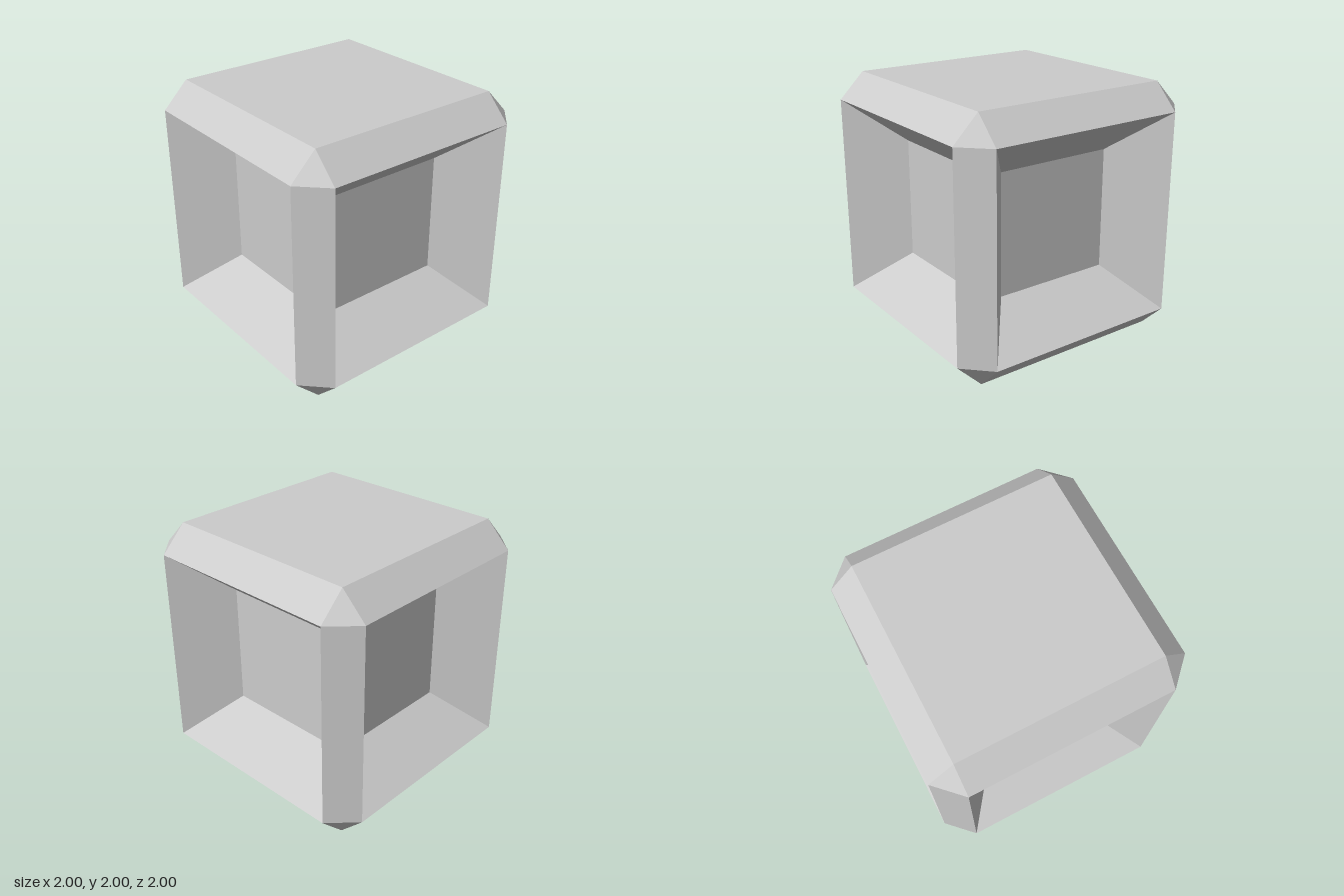
import * as THREE from 'three';

const OUT = 1, IN = 0.8;          // half size of the block and of its flat faces
const FLOOR = 0.48, DEPTH = 0.4;  // half size of the recess floor, recess depth

const material = new THREE.MeshStandardMaterial({ color: 0xcccccc, flatShading: true });

// Mesh from convex polygons, corners listed counter-clockwise seen from outside
function facets(name, polygons) {
  const points = [];
  for (const p of polygons) {
    for (let i = 1; i < p.length - 1; i++) points.push(...p[0], ...p[i], ...p[i + 1]);
  }
  const geometry = new THREE.BufferGeometry();
  geometry.setAttribute('position', new THREE.Float32BufferAttribute(points, 3));
  geometry.computeVertexNormals();
  const mesh = new THREE.Mesh(geometry, material);
  mesh.name = name;
  return mesh;
}

// Square ring of corners facing +z, counter-clockwise from bottom left
const square = (h, z) => [[-h, -h, z], [h, -h, z], [h, h, z], [-h, h, z]];

function createSide() {
  const side = new THREE.Group();
  const rim = square(IN, OUT), floor = square(FLOOR, OUT - DEPTH);

  // Sloping recess walls and floor
  const walls = rim.map((p, i) => [p, rim[(i + 1) % 4], floor[(i + 1) % 4], floor[i]]);
  side.add(facets('recessWalls', walls), facets('recessFloor', [floor]));

  // Bevels towards the top, the bottom and the neighbouring side
  side.add(facets('edgeBevels', [
    [[-IN, IN, OUT], [IN, IN, OUT], [IN, OUT, IN], [-IN, OUT, IN]],
    [[-IN, -OUT, IN], [IN, -OUT, IN], [IN, -IN, OUT], [-IN, -IN, OUT]],
    [[IN, -IN, OUT], [OUT, -IN, IN], [OUT, IN, IN], [IN, IN, OUT]],
  ]));

  // Cut corners at the ends of the vertical bevel
  side.add(facets('cornerBevels', [
    [[IN, IN, OUT], [OUT, IN, IN], [IN, OUT, IN]],
    [[IN, -IN, OUT], [IN, -OUT, IN], [OUT, -IN, IN]],
  ]));
  return side;
}

export function createModel() {
  const model = new THREE.Group();
  model.name = 'recessedBlock';

  // Four identical sides around the vertical axis
  ['front', 'left', 'back', 'right'].forEach((name, i) => {
    const side = createSide();
    side.name = name + 'Side';
    side.rotation.y = i * Math.PI / 2;
    side.position.y = OUT;
    model.add(side);
  });

  // Flat top and bottom
  for (const [name, y, turn] of [['topFace', 2 * OUT, -1], ['bottomFace', 0, 1]]) {
    const face = new THREE.Mesh(new THREE.PlaneGeometry(2 * IN, 2 * IN), material);
    face.name = name;
    face.rotation.x = turn * Math.PI / 2;
    face.position.y = y;
    model.add(face);
  }
  return model;
}
